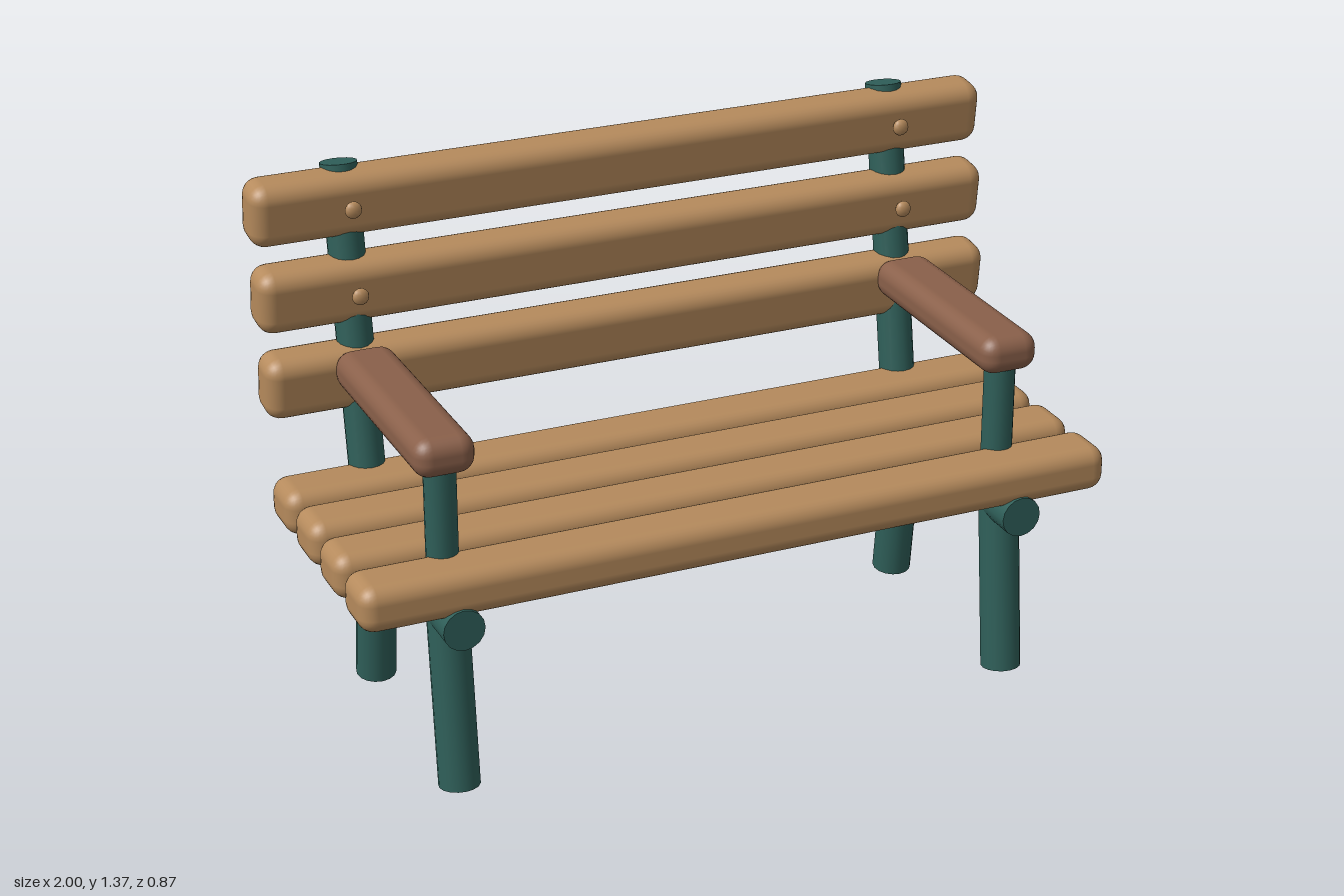
import * as THREE from 'three';
import { RoundedBoxGeometry } from 'three/addons/geometries/RoundedBoxGeometry.js';

export function createModel() {
  const bench = new THREE.Group();
  bench.name = 'bench';
  const wood = new THREE.MeshStandardMaterial({ name: 'slat wood', color: 0xb58a5c });
  const darkWood = new THREE.MeshStandardMaterial({ name: 'armrest wood', color: 0x8a604a });
  const metal = new THREE.MeshStandardMaterial({ name: 'green metal', color: 0x2f5f59 });

  const add = (name, geometry, material, x, y, z) => {
    const mesh = new THREE.Mesh(geometry, material);
    mesh.name = name;
    mesh.position.set(x, y, z);
    bench.add(mesh);
    return mesh;
  };

  // Round bar between two points
  const bar = (name, from, to, radius) => {
    const a = new THREE.Vector3(...from), b = new THREE.Vector3(...to);
    const dir = b.clone().sub(a);
    const mid = a.add(b).multiplyScalar(0.5);
    const mesh = add(name, new THREE.CylinderGeometry(radius, radius, dir.length(), 16), metal, mid.x, mid.y, mid.z);
    mesh.quaternion.setFromUnitVectors(new THREE.Vector3(0, 1, 0), dir.normalize());
  };

  // Seat slats
  const seatSlat = new RoundedBoxGeometry(2, 0.12, 0.156, 3, 0.042);
  for (const z of [0.351, 0.163, -0.025, -0.212]) add('seatSlat', seatSlat, wood, 0, 0.547, z);

  // Backrest slats, each with a pair of flattened bolt heads
  const backSlat = new RoundedBoxGeometry(2, 0.165, 0.12, 3, 0.042);
  const bolt = new THREE.SphereGeometry(0.022, 12, 8).scale(1, 1, 0.62);
  for (const [y, z] of [[0.838, -0.306], [1.057, -0.332], [1.275, -0.359]]) {
    add('backSlat', backSlat, wood, 0, y, z).rotation.x = 0.12;
    for (const x of [-0.75, 0.75]) add('bolt', bolt, wood, x, y, z + 0.079);
  }

  // Side frames and armrests
  const armrest = new RoundedBoxGeometry(0.154, 0.1, 0.628, 3, 0.042);
  for (const x of [-0.75, 0.75]) {
    bar('sideRail', [x, 0.463, 0.434], [x, 0.463, -0.353], 0.053);
    bar('frontLeg', [x, 0.006, 0.362], [x, 0.46, 0.315], 0.052);
    bar('backLeg', [x, 0.006, -0.26], [x, 0.46, -0.206], 0.052);
    bar('backPost', [x, 0.47, -0.242], [x, 1.366, -0.387], 0.047);
    bar('armPost', [x, 0.536, 0.291], [x, 0.86, 0.291], 0.04);
    add('armrest', armrest, darkWood, x, 0.874, 0.045);
  }

  // Stretcher below the seat
  bar('stretcher', [-0.78, 0.257, -0.122], [0.78, 0.257, -0.122], 0.041);

  return bench;
}
